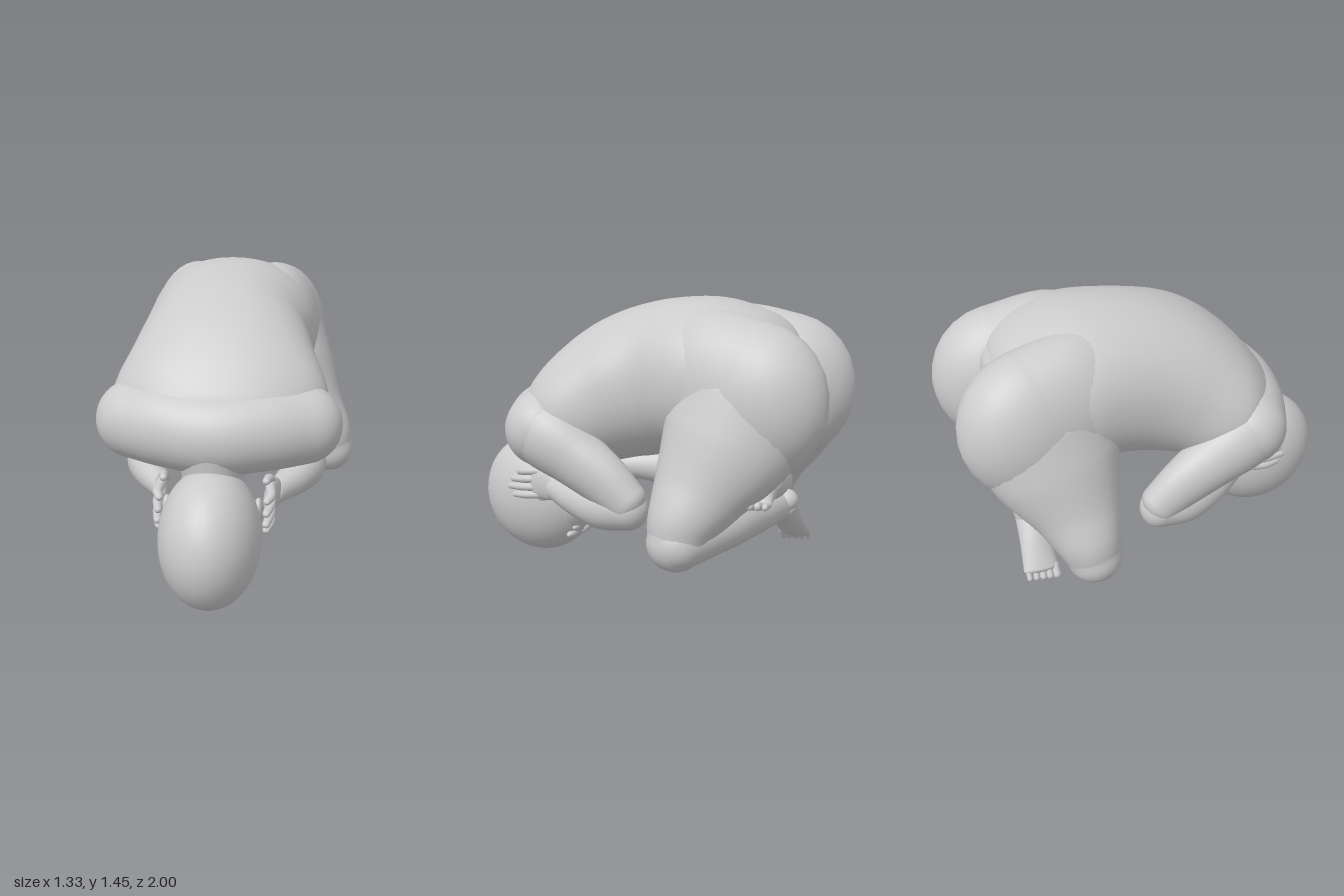
import * as THREE from 'three';

const X = new THREE.Vector3(1, 0, 0), Z = new THREE.Vector3(0, 0, 1);
const mat = new THREE.MeshStandardMaterial({ color: 0xcccccc });

// Smooth closed limb through stations [x, y, z, halfWidth along ref, halfDepth].
// power > 2 makes the section squarer; cap sets how far the rounded ends bulge.
function limb(name, pts, ref = X, { power = 2, cap = 1, sides = 28 } = {}) {
  const path = new THREE.CatmullRomCurve3(pts.map(p => new THREE.Vector3(p[0], p[1], p[2])));
  const size = new THREE.CatmullRomCurve3(pts.map(p => new THREE.Vector3(p[3], p[4], 0)));
  const steps = (pts.length - 1) * 7, caps = 7, rows = [];
  const addEnd = (t, dir, k) => {
    const a = k / caps * Math.PI / 2;
    rows.push([t, dir * Math.sin(a) * cap, Math.max(Math.cos(a), 0.001)]);
  };
  for (let k = caps; k > 0; k--) addEnd(0, -1, k);
  for (let i = 0; i <= steps; i++) rows.push([i / steps, 0, 1]);
  for (let k = 1; k <= caps; k++) addEnd(1, 1, k);

  const pos = [], idx = [];
  const soft = v => Math.sign(v) * Math.pow(Math.abs(v), 2 / power);
  rows.forEach(([t, push, scale], i) => {
    const c = path.getPoint(t), r = size.getPoint(t), T = path.getTangent(t);
    const S = ref.clone().addScaledVector(T, -ref.dot(T)).normalize();
    const U = T.clone().cross(S);
    c.addScaledVector(T, push * Math.min(r.x, r.y));
    for (let j = 0; j < sides; j++) {
      const a = j / sides * Math.PI * 2;
      const v = c.clone().addScaledVector(S, soft(Math.cos(a)) * r.x * scale)
        .addScaledVector(U, soft(Math.sin(a)) * r.y * scale);
      pos.push(v.x, v.y, v.z);
      if (i < rows.length - 1) {
        const p = i * sides + j, q = i * sides + (j + 1) % sides;
        idx.push(p, q, p + sides, q, q + sides, p + sides);
      }
    }
  });
  const g = new THREE.BufferGeometry();
  g.setAttribute('position', new THREE.Float32BufferAttribute(pos, 3));
  g.setIndex(idx);
  g.computeVertexNormals();
  const m = new THREE.Mesh(g, mat);
  m.name = name;
  return m;
}

function blob(name, [x, y, z], [rx, ry, rz], tilt = 0) {
  const m = new THREE.Mesh(new THREE.SphereGeometry(1, 36, 24), mat);
  m.name = name;
  m.position.set(x, y, z);
  m.scale.set(rx, ry, rz);
  m.rotation.x = tilt;
  return m;
}

function group(name, ...parts) {
  const g = new THREE.Group();
  g.name = name;
  g.add(...parts);
  return g;
}

// Bowed head, crown forward, face turned down and back
function head() {
  const g = group('head',
    blob('skull', [-0.03, 0.33, 0.67], [0.24, 0.33, 0.33]),
    blob('face', [-0.03, 0.32, 0.48], [0.175, 0.2, 0.15]),
    blob('chin', [-0.03, 0.4, 0.37], [0.075, 0.06, 0.055]),
    limb('nose', [[-0.03, 0.14, 0.41, 0.02, 0.02], [-0.03, 0.185, 0.365, 0.022, 0.025], [-0.03, 0.215, 0.348, 0.034, 0.026]], X, { sides: 14 }),
    blob('upperLip', [-0.03, 0.28, 0.34], [0.05, 0.014, 0.016]),
    blob('lowerLip', [-0.03, 0.306, 0.338], [0.042, 0.015, 0.018]));
  for (const s of [-1, 1]) {
    g.add(blob('eye', [-0.03 + s * 0.075, 0.18, 0.41], [0.032, 0.02, 0.022]));
    g.add(blob('brow', [-0.03 + s * 0.075, 0.14, 0.43], [0.055, 0.022, 0.022]));
    g.add(blob('ear', [-0.03 + s * 0.215, 0.42, 0.55], [0.025, 0.075, 0.05], 0.5));
  }
  return g;
}

// Folded arm with the hand held over the ear; s mirrors it
function arm(s) {
  const side = s > 0 ? 'left' : 'right';
  const at = pts => pts.map(([x, ...rest]) => [s * x + (s < 0 ? -0.04 : 0), ...rest]);
  const hand = group(side + 'Hand', limb('palm', at([
    [0.26, 0.45, 0.37, 0.04, 0.055], [0.245, 0.465, 0.45, 0.035, 0.085], [0.235, 0.465, 0.54, 0.028, 0.085]]), X, { cap: 0.8 }));
  for (let i = 0; i < 4; i++) {
    const y = 0.53 - i * 0.043, reach = [0.66, 0.7, 0.72, 0.69][i];
    hand.add(limb('finger', at([
      [0.238, y, 0.52, 0.024, 0.023], [0.243, y - 0.01, 0.6, 0.023, 0.021], [0.228, y - 0.02, reach - 0.02, 0.018, 0.017]]), X, { sides: 12 }));
  }
  hand.add(limb('thumb', at([
    [0.24, 0.5, 0.43, 0.028, 0.028], [0.23, 0.56, 0.49, 0.024, 0.022], [0.22, 0.575, 0.56, 0.018, 0.018]]), X, { sides: 12 }));
  return group(side + 'Arm',
    limb('upperArm', at([
      [0.38, 0.805, 0.4, 0.18, 0.185], [0.41, 0.76, 0.3, 0.16, 0.175], [0.42, 0.685, 0.17, 0.13, 0.15],
      [0.42, 0.59, 0.02, 0.105, 0.13], [0.41, 0.49, -0.1, 0.09, 0.105]]), X, { cap: 0.8 }),
    limb('forearm', at([
      [0.4, 0.46, -0.1, 0.095, 0.105], [0.39, 0.45, 0.04, 0.11, 0.115], [0.35, 0.45, 0.2, 0.09, 0.09],
      [0.26, 0.45, 0.4, 0.05, 0.058]])),
    hand);
}

// Hip rounding into the buttock, and thigh dropping to a wide-set knee; dz shifts the knee back
function upperLeg(s, dz) {
  const at = pts => pts.map(([x, ...rest]) => [s * x - 0.01, ...rest]);
  return group(s > 0 ? 'leftUpperLeg' : 'rightUpperLeg',
    limb('buttock', at([
      [0.17, 1.0, -0.22, 0.2, 0.28], [0.2, 1.035, -0.42, 0.25, 0.37], [0.23, 0.99, -0.65, 0.258, 0.375]]),
    X, { cap: 1.35, sides: 40 }),
    limb('thigh', at([
      [0.25, 1.0, -0.62, 0.235, 0.35], [0.325, 0.8, -0.55 + dz * 0.3, 0.225, 0.315],
      [0.42, 0.6, -0.465 + dz * 0.7, 0.185, 0.225], [0.5, 0.46, -0.415 + dz, 0.16, 0.165],
      [0.535, 0.375, -0.4 + dz, 0.13, 0.135]])));
}

// Shin crossing under the body, then a foot with five toes
function lowerLeg(side, shin, foot, toeDir) {
  const end = foot[foot.length - 1], heel = foot[0];
  const g = group(side + 'Foot',
    limb('foot', foot, Z, { cap: 0.6 }),
    blob('heel', [heel[0] - toeDir[0] * 0.01, heel[1] + 0.025, heel[2] - 0.02], [0.07, 0.06, 0.065]));
  for (let i = 0; i < 5; i++) {
    const z = end[2] + 0.07 - i * 0.034, r = 0.025 - i * 0.002;
    g.add(limb('toe', [0, 0.025, 0.05 - i * 0.004].map(d =>
      [end[0] + toeDir[0] * d, end[1] + toeDir[1] * d, z, r * 0.85, r]), Z, { sides: 12 }));
  }
  return group(side + 'LowerLeg', limb('shin', shin, Z), g);
}

export function createModel() {
  const model = group('crouchingFigure');

  // Curved back, narrowing at the waist
  model.add(limb('torso', [
    [-0.02, 0.72, 0.52, 0.27, 0.17], [-0.02, 0.77, 0.45, 0.44, 0.25], [-0.02, 0.87, 0.29, 0.52, 0.32],
    [-0.025, 0.98, 0.08, 0.46, 0.37], [-0.03, 1.04, -0.13, 0.425, 0.385], [-0.015, 1.06, -0.37, 0.45, 0.385],
    [-0.01, 1.04, -0.56, 0.43, 0.345], [0, 1.0, -0.68, 0.35, 0.27]], X, { power: 2.15, cap: 0.35, sides: 56 }));
  // Shoulder girdle bowed forward across the upper back
  model.add(limb('shoulders', [
    [-0.42, 0.8, 0.39, 0.185, 0.19], [-0.24, 0.8, 0.465, 0.195, 0.2], [-0.02, 0.79, 0.51, 0.2, 0.2],
    [0.2, 0.8, 0.465, 0.195, 0.2], [0.38, 0.8, 0.39, 0.185, 0.19]], Z, { sides: 36 }));
  model.add(limb('neck', [
    [-0.03, 0.42, 0.52, 0.15, 0.16], [-0.03, 0.58, 0.51, 0.15, 0.175], [-0.03, 0.72, 0.49, 0.2, 0.21]]));
  model.add(head());

  for (const s of [-1, 1]) {
    model.add(upperLeg(s, s > 0 ? 0 : -0.08));
    model.add(arm(s));
  }

  // Left shin passes below the right one
  model.add(lowerLeg('left',
    [[0.53, 0.38, -0.41, 0.13, 0.125], [0.3, 0.41, -0.51, 0.14, 0.125], [0.02, 0.41, -0.62, 0.1, 0.1], [-0.16, 0.4, -0.67, 0.075, 0.075]],
    [[-0.17, 0.4, -0.68, 0.08, 0.075], [-0.26, 0.31, -0.69, 0.08, 0.06], [-0.36, 0.2, -0.7, 0.088, 0.035]],
    [-0.6, -0.8]));
  model.add(lowerLeg('right',
    [[-0.53, 0.39, -0.49, 0.13, 0.125], [-0.3, 0.48, -0.56, 0.13, 0.12], [-0.02, 0.55, -0.64, 0.1, 0.095], [0.14, 0.57, -0.68, 0.07, 0.07]],
    [[0.15, 0.57, -0.69, 0.07, 0.07], [0.26, 0.57, -0.7, 0.075, 0.055], [0.36, 0.56, -0.71, 0.085, 0.032]],
    [1, 0]));
  return model;
}
